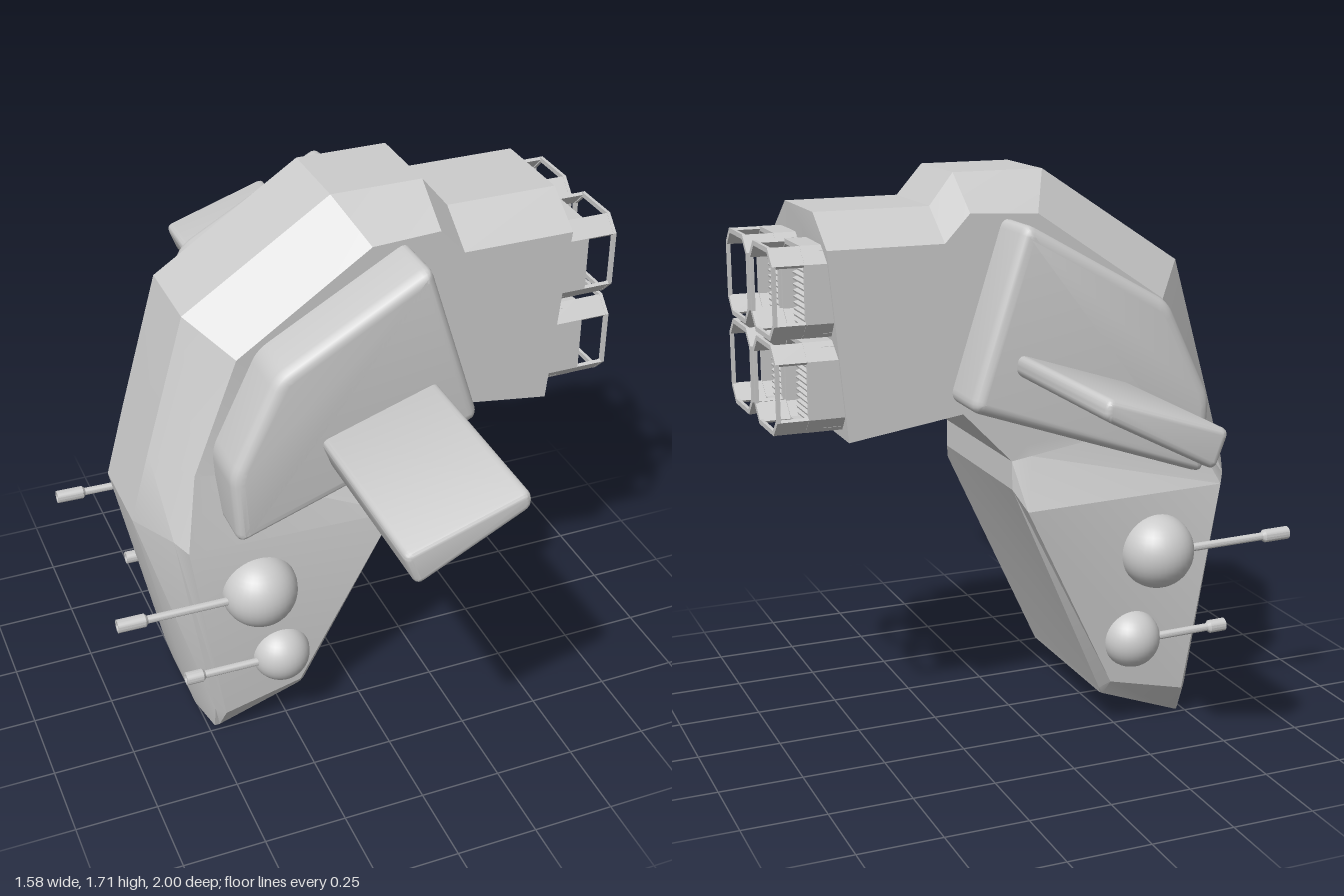
import * as THREE from 'three';
import { toCreasedNormals } from 'three/addons/utils/BufferGeometryUtils.js';

const grey = new THREE.MeshStandardMaterial({ color: 0xcccccc });

function add(parent, name, geometry, x = 0, y = 0, z = 0) {
  const mesh = new THREE.Mesh(geometry, grey);
  mesh.name = name;
  mesh.position.set(x, y, z);
  parent.add(mesh);
  return mesh;
}

// Hull: half sections lofted from the engine end over the hump to the nose.
// Each section runs from the spine edge past the shoulder to the inner edge.
function hullGeometry() {
  const plain = (ox, oy, sx, sy, ix, iy, w = 0.265, ow = 0.13) => [
    [ox, oy, ow], [sx, sy, w],
    [sx + (ix - sx) * 0.1, sy + (iy - sy) * 0.1, w],
    [sx + (ix - sx) * 0.9, sy + (iy - sy) * 0.9, w], [ix, iy, w],
  ];
  const halves = [
    plain(0.64, 1.62, 0.64, 1.53, 0.59, 0.99, 0.265, 0.14),
    plain(0.30, 1.62, 0.30, 1.53, 0.25, 1.04, 0.265, 0.14),
    plain(0.225, 1.71, 0.225, 1.61, 0.25, 1.04),
    plain(-0.05, 1.71, 0.02, 1.60, 0.25, 1.04),
    plain(-0.49, 1.42, -0.38, 1.33, 0.10, 0.885),
    plain(-0.61, 1.00, -0.515, 0.98, 0.10, 0.885),
    [[-0.67, 0.78, 0.13], [-0.59, 0.78, 0.28], [-0.56, 0.76, 0.325], [0.075, 0.745, 0.33], [0.10, 0.80, 0.27]],
    [[-0.53, 0.10, 0.12], [-0.485, 0.10, 0.265], [-0.46, 0.10, 0.295], [-0.215, 0.16, 0.295], [-0.193, 0.13, 0.26]],
    [[-0.507, 0.012, 0.12], [-0.48, 0, 0.23], [-0.465, 0.005, 0.235], [-0.21, 0.105, 0.25], [-0.2, 0.11, 0.25]],
  ];
  const loops = halves.map((h) => [...h, ...h.slice().reverse().map(([x, y, z]) => [x, y, -z])]
    .map((p) => new THREE.Vector3(...p)));
  const pos = [];
  const tri = (a, b, c) => {
    const area = b.clone().sub(a).cross(c.clone().sub(a)).length();
    if (area > 1e-7) for (const p of [a, b, c]) pos.push(p.x, p.y, p.z);
  };
  const n = loops[0].length;
  for (let k = 0; k < loops.length - 1; k++) {
    for (let i = 0; i < n; i++) {
      const j = (i + 1) % n;
      tri(loops[k][i], loops[k + 1][i], loops[k + 1][j]);
      tri(loops[k][i], loops[k + 1][j], loops[k][j]);
    }
  }
  const last = loops[loops.length - 1];
  for (let i = 1; i < n - 1; i++) {
    tri(loops[0][0], loops[0][i], loops[0][i + 1]);
    tri(last[0], last[i + 1], last[i]);
  }
  const g = new THREE.BufferGeometry();
  g.setAttribute('position', new THREE.Float32BufferAttribute(pos, 3));
  return toCreasedNormals(g, 0.4);
}

// Polygon outline with its corners rounded off
function roundedShape(points, r) {
  const s = new THREE.Shape();
  const v = points.map((p) => new THREE.Vector2(...p));
  v.forEach((p, i) => {
    const toward = (q) => p.clone().add(q.clone().sub(p).setLength(r));
    const a = toward(v[(i + v.length - 1) % v.length]);
    const b = toward(v[(i + 1) % v.length]);
    if (i === 0) s.moveTo(a.x, a.y); else s.lineTo(a.x, a.y);
    s.quadraticCurveTo(p.x, p.y, b.x, b.y);
  });
  s.closePath();
  return s;
}

// Soft-edged slab between two depths
function slab(shape, z0, z1, bevel) {
  const g = new THREE.ExtrudeGeometry(shape, {
    depth: z1 - z0 - 2 * bevel, bevelEnabled: true, bevelThickness: bevel,
    bevelSize: bevel, bevelOffset: -bevel, bevelSegments: 4, curveSegments: 5,
  });
  g.translate(0, 0, z0 + bevel);
  return toCreasedNormals(g, 0.6);
}

// Ball turret with a thin barrel and a hollow muzzle
function turret(parent, x, y, z, r, tip, muzzle) {
  const g = new THREE.Group();
  g.name = 'turret';
  g.position.set(x, y, z);
  add(g, 'turretBall', new THREE.SphereGeometry(r, 32, 20));
  const len = x - tip;
  const profile = [[0.012, 0], [0.012, len - muzzle], [0.02, len - muzzle + 0.008],
    [0.02, len], [0.013, len], [0.013, len - 0.03], [0, len - 0.03]].map((p) => new THREE.Vector2(...p));
  const barrel = add(g, 'barrel', toCreasedNormals(new THREE.LatheGeometry(profile, 16), 0.5), 0, 0, Math.sign(z) * 0.025);
  barrel.rotation.z = Math.PI / 2 - 0.02;
  parent.add(g);
}

// Octagonal ring facing +x
function octagon(Path, hy, hz, c) {
  const p = new Path();
  p.setFromPoints([[hz, hy - c], [hz - c, hy], [c - hz, hy], [-hz, hy - c],
    [-hz, c - hy], [c - hz, -hy], [hz - c, -hy], [hz, c - hy]].map((q) => new THREE.Vector2(...q)));
  p.closePath();
  return p;
}
function ring(hy, hz, c, t, depth) {
  const s = octagon(THREE.Shape, hy, hz, c);
  s.holes.push(octagon(THREE.Path, hy - t, hz - t, c - t * 0.58));
  return new THREE.ExtrudeGeometry(s, { depth, bevelEnabled: false }).rotateY(Math.PI / 2);
}

// Exhaust: collar, louvred grille, four corner plates and an end rim
function exhaust(parent, y, z) {
  const g = new THREE.Group();
  g.name = 'exhaust';
  g.position.set(0, y, z);
  const hy = 0.128, hz = 0.122, c = 0.046, t = 0.014;
  add(g, 'collar', ring(hy, hz, c, t, 0.11), 0.59);
  add(g, 'rim', ring(hy, hz, c, t, 0.01), 0.78);
  add(g, 'grillePlate', new THREE.BoxGeometry(0.05, 0.23, 0.18), 0.625);
  for (let i = 0; i < 13; i++) {
    const slat = add(g, 'slat', new THREE.BoxGeometry(0.03, 0.006, 0.17), 0.662, (i - 6) * 0.0172);
    slat.rotation.z = -0.3;
  }
  for (const sy of [-1, 1]) {
    for (const sz of [-1, 1]) {
      const inset = c / 2 + 0.004;
      const plate = add(g, 'cornerPlate', new THREE.BoxGeometry(0.1, 0.01, c * Math.SQRT2),
        0.735, sy * (hy - inset), sz * (hz - inset));
      plate.rotation.x = sy * sz * Math.PI / 4;
    }
  }
  parent.add(g);
}

export function createModel() {
  const model = new THREE.Group();
  model.name = 'ship';
  add(model, 'hull', hullGeometry());

  const podShape = roundedShape([[-0.445, 0.83], [-0.46, 1.06], [-0.32, 1.35], [0.125, 1.60], [0.29, 1.085]], 0.035);
  const finShape = roundedShape([[-0.20, 1.125], [-0.16, 1.02], [0.16, 1.185], [0.15, 1.24]], 0.025);
  for (const s of [-1, 1]) {
    const span = (a, b) => (s > 0 ? [a, b] : [-b, -a]);
    add(model, 'sidePod', slab(podShape, ...span(0.15, 0.437), 0.035));
    add(model, 'fin', slab(finShape, ...span(0.38, 1), 0.018));
    turret(model, -0.35, 0.573, s * 0.318, 0.114, -0.79, 0.09);
    turret(model, -0.28, 0.295, s * 0.295, 0.09, -0.59, 0.06);
    for (const y of [1.145, 1.412]) exhaust(model, y, s * 0.134);
  }
  return model;
}
